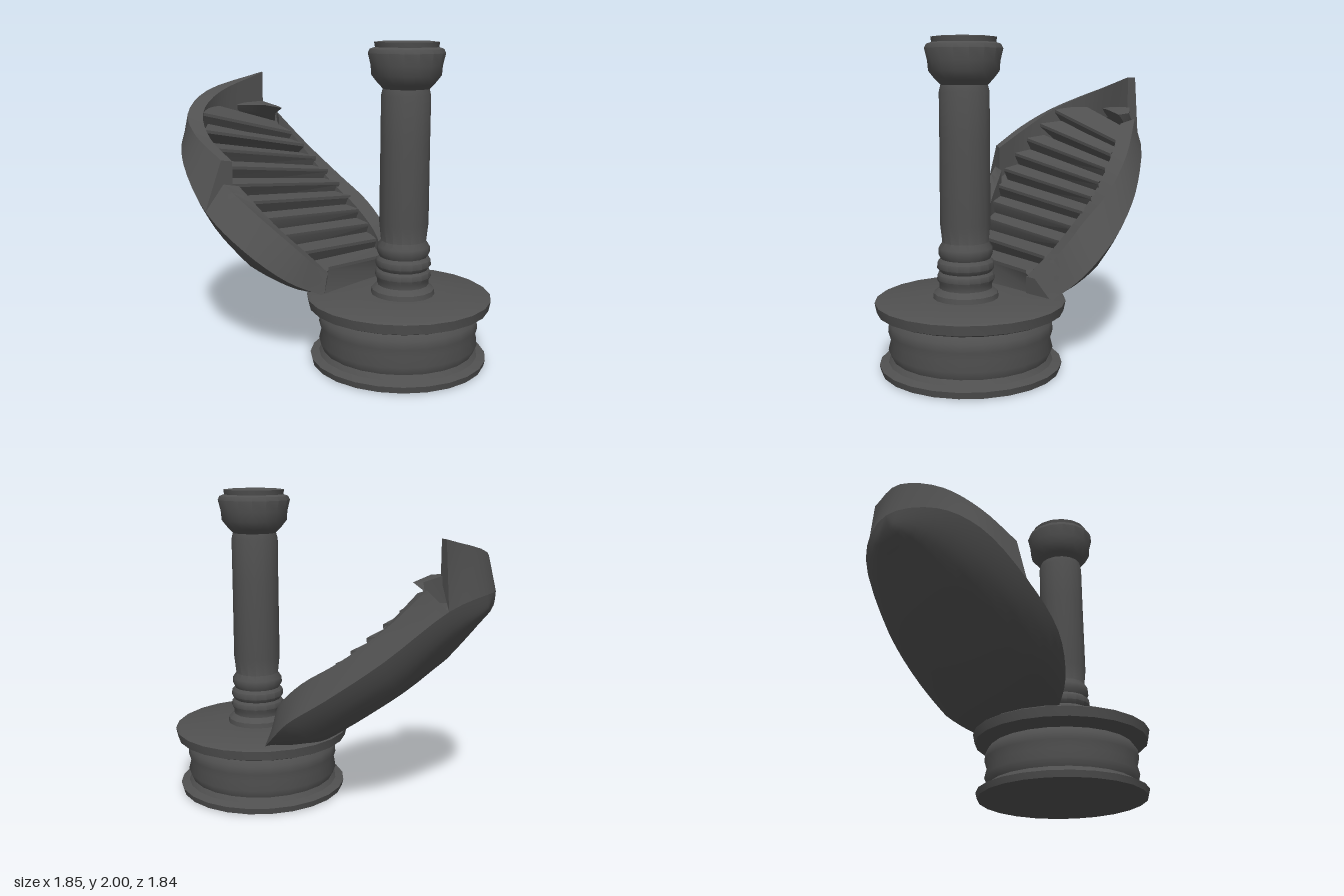
import * as THREE from 'three';
import { toCreasedNormals } from 'three/addons/utils/BufferGeometryUtils.js';

const stone = new THREE.MeshStandardMaterial({ color: 0x505050, side: THREE.DoubleSide });
stone.name = 'dark stone';

const V = (x, y, z) => new THREE.Vector3(x, y, z);
const curve = (pts) => new THREE.CatmullRomCurve3(pts.map((p) => V(...p)));

function part(name, geometry, crease = 0.7) {
  const mesh = new THREE.Mesh(toCreasedNormals(geometry, crease), stone);
  mesh.name = name;
  return mesh;
}

// Surface through rows of points, all rows the same length
function loft(rows) {
  const n = rows[0].length, index = [];
  for (let i = 0; i < rows.length - 1; i++) {
    for (let j = 0; j < n - 1; j++) {
      const a = i * n + j, b = a + n;
      index.push(a, b, a + 1, b, b + 1, a + 1);
    }
  }
  const g = new THREE.BufferGeometry().setFromPoints(rows.flat());
  g.setIndex(index);
  g.computeVertexNormals();
  return g.toNonIndexed();
}

function turned(name, x, z, segments, profile) {
  const g = new THREE.LatheGeometry(profile.map((p) => new THREE.Vector2(...p)), segments);
  const mesh = part(name, g);
  mesh.position.set(x, 0, z);
  return mesh;
}

// Outer edge of the bowl, from the front left round the back to the front right
const edge = curve([
  [-0.12, 0.43, 0.28], [-0.36, 0.55, 0.31], [-0.61, 0.74, 0.25], [-0.82, 0.96, 0.06],
  [-0.925, 1.22, -0.2], [-0.9, 1.36, -0.45], [-0.72, 1.42, -0.76], [-0.31, 1.36, -0.92],
  [0.04, 1.08, -0.81], [0.31, 0.84, -0.62], [0.47, 0.67, -0.43], [0.505, 0.54, -0.28], [0.5, 0.43, -0.12],
]);

// One stretch of side wall: sloping outside, narrow rim, upright inside, closed ends
function wall(name, start, outer, inner) {
  const group = new THREE.Group();
  group.name = name;
  const count = outer.length - 1, steps = count * 4;
  const rimOut = curve(outer), rimIn = curve(inner), rows = [];
  for (let i = 0; i <= steps; i++) {
    const t = i / steps;
    const o = edge.getPoint((start + t * count) / 12);
    const a = rimOut.getPoint(t), b = rimIn.getPoint(t);
    const foot = b.clone().setY(Math.max(0.44, b.y - 0.22));
    rows.push([o, o.clone().lerp(a, 0.5), a, b, foot]);
  }
  group.add(part(name + 'Surface', loft(rows), 0.8));
  for (const r of [rows[0], rows[steps]]) {
    group.add(part(name + 'End', loft([[r[0], r[2]], [r[4], r[3]]])));
  }
  return group;
}

export function createModel() {
  const model = new THREE.Group();
  model.name = 'columnAndStairBowl';

  // Round pedestal
  model.add(turned('pedestal', 0.345, 0.345, 24, [
    [0, 0], [0.545, 0.005], [0.555, 0.045], [0.5, 0.06], [0.48, 0.09], [0.5, 0.14], [0.485, 0.2],
    [0.5, 0.25], [0.495, 0.3], [0.47, 0.335], [0.53, 0.355], [0.565, 0.37], [0.577, 0.43],
    [0.56, 0.44], [0.2, 0.45], [0, 0.45],
  ]));

  // Column with ringed foot and capital
  model.add(turned('column', 0.363, 0.375, 16, [
    [0.2, 0.44], [0.195, 0.48], [0.16, 0.51], [0.16, 0.54], [0.175, 0.565], [0.17, 0.595], [0.155, 0.61],
    [0.173, 0.635], [0.17, 0.67], [0.15, 0.69], [0.165, 0.72], [0.163, 0.755], [0.14, 0.79],
    [0.152, 0.9], [0.15, 1.4], [0.15, 1.68], [0.14, 1.72], [0.17, 1.75], [0.21, 1.8],
    [0.215, 1.86], [0.232, 1.93], [0.22, 1.955], [0.19, 1.965], [0.195, 1.995], [0.15, 2], [0, 2],
  ]));

  // Left wall: a low stretch, then a taller one that steps up and ends in a broken edge
  model.add(wall('leftLowWall', 0,
    [[-0.09, 0.54, 0.23], [-0.25, 0.7, 0.25], [-0.5, 0.93, 0.16], [-0.7, 1.12, 0.02]],
    [[-0.07, 0.55, 0.19], [-0.19, 0.67, 0.18], [-0.4, 0.87, 0.11], [-0.6, 1.1, -0.01]]));
  model.add(wall('leftHighWall', 3,
    [[-0.71, 1.27, 0.01], [-0.84, 1.4, -0.2], [-0.87, 1.52, -0.42], [-0.71, 1.65, -0.69], [-0.3, 1.76, -0.89]],
    [[-0.64, 1.26, 0], [-0.75, 1.38, -0.2], [-0.77, 1.52, -0.42], [-0.63, 1.64, -0.65], [-0.3, 1.76, -0.84]]));

  // Lower right wall
  model.add(wall('rightWall', 7,
    [[-0.2, 1.48, -0.86], [0, 1.25, -0.74], [0.2, 1.04, -0.56], [0.35, 0.88, -0.36],
      [0.43, 0.71, -0.19], [0.4, 0.55, -0.04]],
    [[-0.2, 1.45, -0.76], [-0.05, 1.24, -0.65], [0.11, 1.02, -0.49], [0.26, 0.85, -0.31],
      [0.35, 0.68, -0.13], [0.34, 0.55, 0]]));

  // Rounded underside hanging between the two edges
  const under = [];
  for (let i = 0; i <= 24; i++) {
    const l = edge.getPoint(i / 48), r = edge.getPoint(1 - i / 48), row = [];
    const sag = 0.25 * Math.min(1, i / 9) * Math.sqrt(Math.min(1, (24 - i) / 8));
    for (let j = 0; j <= 20; j++) {
      const v = (1 - Math.cos(Math.PI * j / 20)) / 2;
      const p = l.clone().lerp(r, v);
      p.y -= sag * (1 - Math.abs(2 * v - 1) ** 5);
      row.push(p);
    }
    under.push(row);
  }
  model.add(part('bowlUnderside', loft(under), 1));

  // Sloping lip below the first step
  model.add(part('frontLip', loft([
    [V(-0.12, 0.43, 0.28), V(-0.07, 0.57, 0.19)],
    [V(0.5, 0.43, -0.12), V(0.34, 0.57, 0)],
  ])));

  // Tilted overhanging treads
  const left = curve([[-0.07, 0, 0.19], [-0.42, 0, 0.12], [-0.62, 0, 0], [-0.75, 0, -0.2], [-0.78, 0, -0.43]]);
  const right = curve([[0.34, 0, 0], [0.32, 0, -0.25], [0.2, 0, -0.42], [0.05, 0, -0.57], [-0.12, 0, -0.7]]);
  const stairs = new THREE.Group();
  stairs.name = 'stairs';
  const count = 9;
  for (let k = 0; k <= count; k++) {
    const y = 0.59 + 0.095 * k, yl = y + 0.009 * k, yr = y - 0.011 * k;
    const u = k / count, w = (k + 1.3) / count;
    const last = k >= count - 1;
    const fl = left.getPoint(u).setY(yl), fr = right.getPoint(u).setY(yr);
    const bl = last ? V(-0.7, yl + 0.04, -0.62) : left.getPoint(w).setY(yl + 0.02);
    const br = last ? V(-0.2, yr + 0.06, -0.82) : right.getPoint(w).setY(yr + 0.02);
    const ring = (a, b) => {
      const low = a.clone().lerp(b, 0.4);
      low.y = a.y - 0.13;
      const lip = a.clone();
      lip.y -= 0.02;
      return [b, a, lip, low];
    };
    stairs.add(part('step', loft([ring(fl, bl), ring(fr, br)]), 0.4));
  }
  model.add(stairs);

  // Small pointed ledge beside the broken edge
  const front = [V(-0.5, 1.54, -0.72), V(-0.32, 1.54, -0.7), V(-0.18, 1.51, -0.74)];
  model.add(part('topLedge', loft([
    front,
    [V(-0.5, 1.56, -0.8), V(-0.32, 1.56, -0.86), V(-0.2, 1.52, -0.82)],
    [V(-0.5, 1.4, -0.8), V(-0.32, 1.4, -0.86), V(-0.22, 1.4, -0.82)],
    [V(-0.5, 1.47, -0.76), V(-0.32, 1.47, -0.75), V(-0.22, 1.47, -0.78)],
    front,
  ])));
  return model;
}
